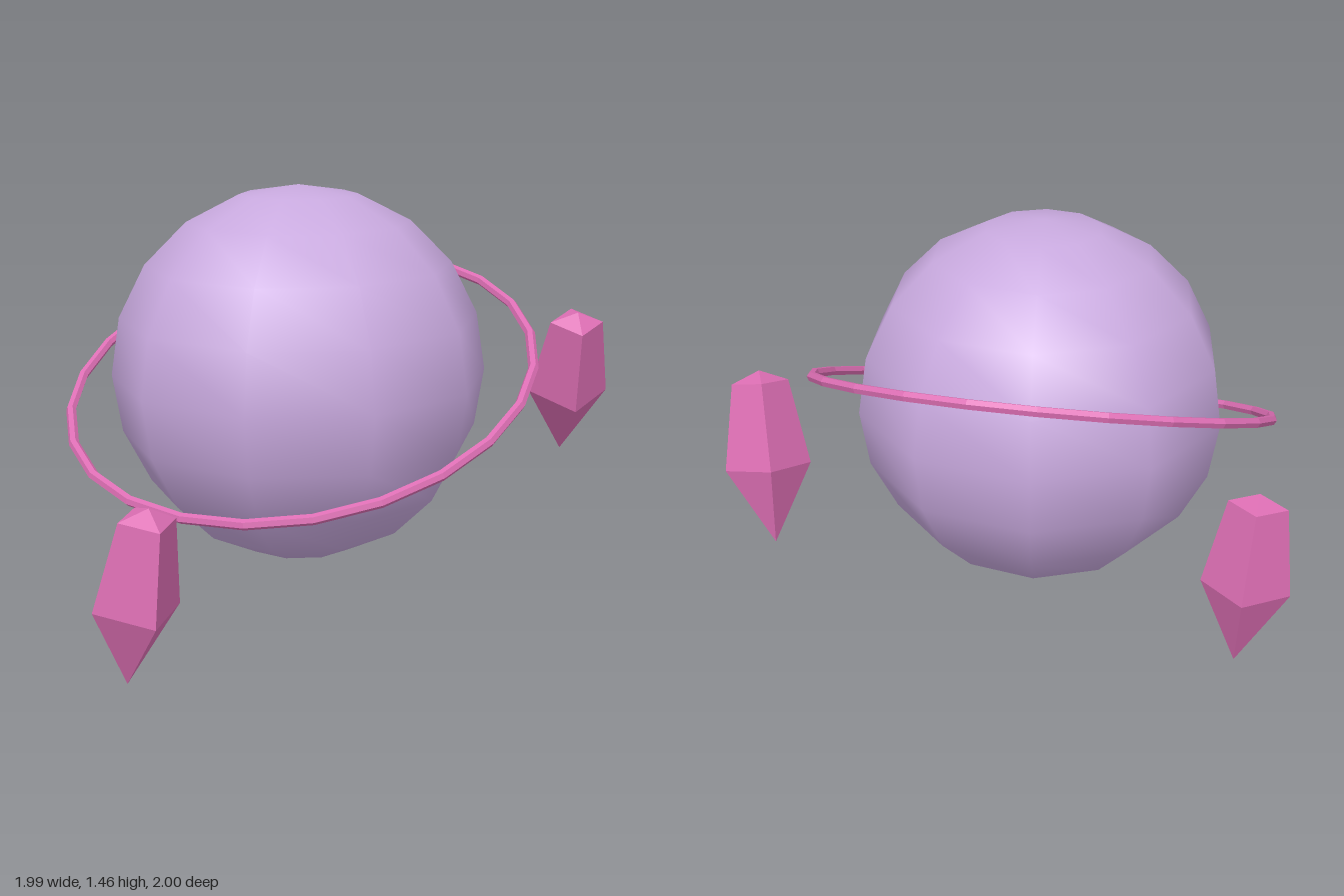
import * as THREE from 'three';

const lilac = new THREE.MeshStandardMaterial({ color: 0xc8a9de });
lilac.name = 'lilac';
const pink = new THREE.MeshStandardMaterial({ color: 0xdc6eb3 });
pink.name = 'pink';

// The module's faceted parts get per-face normals.
function faceted(geometry) {
  const flat = geometry.toNonIndexed();
  flat.computeVertexNormals();
  return flat;
}

// Four-sided shard: long point below, widest at the middle, short cap on top.
function crystalGeometry() {
  const profile = [[0, 0], [0.146, 0.265], [0.096, 0.56], [0, 0.6]];
  return faceted(new THREE.LatheGeometry(profile.map(([r, y]) => new THREE.Vector2(r, y)), 4));
}

export function createModel() {
  const model = new THREE.Group();
  model.name = 'ringedPlanet';
  const centre = new THREE.Vector3(-0.155, 0.8, 0.03);

  // Planet body
  const planet = new THREE.Mesh(new THREE.SphereGeometry(0.667, 10, 10), lilac);
  planet.name = 'planet';
  planet.position.copy(centre);
  model.add(planet);

  // Thin tilted ring
  const ringGeometry = faceted(new THREE.TorusGeometry(0.833, 0.018, 6, 24).rotateX(Math.PI / 2));
  const ring = new THREE.Mesh(ringGeometry, pink);
  ring.name = 'ring';
  ring.position.copy(centre);
  ring.rotation.set(Math.PI / 9, 0, Math.PI / 18);
  model.add(ring);

  // Floating crystals: lower tip, upper tip, spin about the long axis
  const crystals = [
    ['rightCrystal', [-0.74, 0.003, 0.85], [-0.652, 0.598, 0.9], 0.465],
    ['leftCrystal', [0.848, 0.435, -0.17], [0.848, 0.999, 0.034], 0],
    ['backCrystal', [-0.58, 0.208, -0.89], [-0.643, 0.798, -0.842], -0.475],
  ];
  const shard = crystalGeometry();
  const up = new THREE.Vector3(0, 1, 0);
  for (const [name, bottom, top, spin] of crystals) {
    const crystal = new THREE.Mesh(shard, pink);
    crystal.name = name;
    crystal.position.set(...bottom);
    const axis = new THREE.Vector3(...top).sub(crystal.position).normalize();
    crystal.quaternion.setFromUnitVectors(up, axis);
    crystal.rotateY(spin);
    model.add(crystal);
  }

  return model;
}
